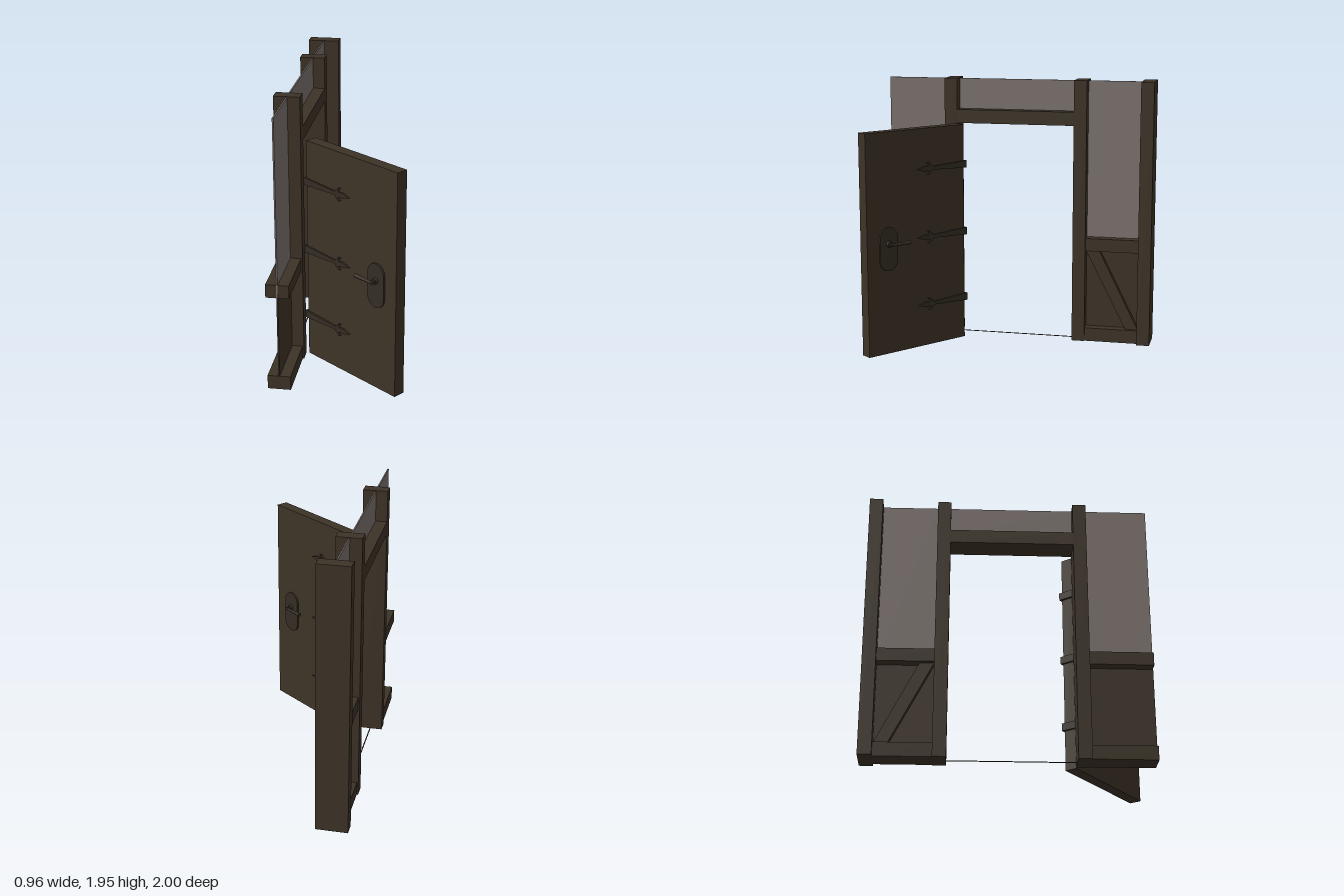
import * as THREE from 'three';

const wood = new THREE.MeshStandardMaterial({ name: 'dark wood', color: 0x3d3327 });
const iron = new THREE.MeshStandardMaterial({ name: 'dark iron', color: 0x352d24 });
const pane = new THREE.MeshStandardMaterial({ name: 'grey pane', color: 0x7a716d });

const WALL_X = -0.365;

function add(parent, name, geometry, material, x = 0, y = 0, z = 0) {
  const mesh = new THREE.Mesh(geometry, material);
  mesh.name = name;
  mesh.position.set(x, y, z);
  parent.add(mesh);
  return mesh;
}

// Box on the wall line, given its thickness and its y and z ranges
function wallBox(parent, name, thick, y0, y1, z0, z1, material = wood) {
  return add(parent, name, new THREE.BoxGeometry(thick, y1 - y0, z1 - z0), material,
    WALL_X, (y0 + y1) / 2, (z0 + z1) / 2);
}

// Tapered strap ending in a barbed arrow tip; upper half mirrored
function strapGeometry() {
  const half = [[-0.018, 0.027], [0.29, 0.012], [0.298, 0.024], [0.325, 0.046], [0.342, 0.044],
    [0.322, 0.027], [0.33, 0.017], [0.37, 0.018]];
  const points = [...half, [0.428, 0], ...half.map(([x, y]) => [x, -y]).reverse()];
  const shape = new THREE.Shape(points.map(([x, y]) => new THREE.Vector2(x, y)));
  return new THREE.ExtrudeGeometry(shape, { depth: 0.013, bevelEnabled: false });
}

// Rounded escutcheon plate
function plateGeometry(w, h, depth) {
  const r = w / 2, s = h / 2 - r;
  const shape = new THREE.Shape();
  shape.absarc(0, s, r, 0, Math.PI, false);
  shape.absarc(0, -s, r, Math.PI, Math.PI * 2, false);
  shape.closePath();
  return new THREE.ExtrudeGeometry(shape, { depth, bevelEnabled: false, curveSegments: 12 });
}

function buildHandle() {
  const handle = new THREE.Group();
  handle.name = 'handle';
  add(handle, 'handlePlate', plateGeometry(0.15, 0.32, 0.014), iron, 0, 0.778, 0.0425);
  add(handle, 'handleRosette', new THREE.CylinderGeometry(0.02, 0.024, 0.02, 16), iron, 0, 0.815, 0.064)
    .rotation.x = Math.PI / 2;
  add(handle, 'handleStem', new THREE.CylinderGeometry(0.011, 0.011, 0.05, 12), iron, 0, 0.815, 0.078)
    .rotation.x = Math.PI / 2;
  add(handle, 'handleLever', new THREE.CylinderGeometry(0.014, 0.009, 0.17, 12), iron, -0.07, 0.815, 0.097)
    .rotation.z = Math.PI / 2;
  return handle;
}

export function createModel() {
  const model = new THREE.Group();
  model.name = 'doorwayWall';

  // Timber frame
  wallBox(model, 'endPost', 0.23, 0, 1.95, -1, -0.905);
  wallBox(model, 'latchPost', 0.18, 0, 1.95, -0.51, -0.415);
  wallBox(model, 'hingePost', 0.18, 0, 1.95, 0.46, 0.555);
  wallBox(model, 'lintel', 0.18, 1.62, 1.72, -0.415, 0.46);
  wallBox(model, 'threshold', 0.008, 0, 0.004, -0.415, 0.46);
  wallBox(model, 'transomPane', 0.01, 1.72, 1.945, -0.415, 0.46, pane);

  // Side bays: rails, thin lower panel and upper pane
  for (const [z0, z1, open] of [[-0.905, -0.51, 0], [0.555, 1, 0.003]]) {
    wallBox(model, 'bottomRail', 0.16, 0, 0.1, z0, z1 - open);
    wallBox(model, 'middleRail', 0.16, 0.69, 0.785, z0, z1 - open);
    wallBox(model, 'lowerPanel', 0.01, 0.1, 0.69, z0, z1);
    wallBox(model, 'upperPane', 0.01, 0.69, 1.945, z0, z1, pane);
  }

  // Diagonal brace in the rear bay; shape x runs along -z
  const braceShape = new THREE.Shape([[0.51, 0.69], [0.81, 0.1], [0.905, 0.1], [0.61, 0.69]]
    .map(([x, y]) => new THREE.Vector2(x, y)));
  const brace = add(model, 'diagonalBrace',
    new THREE.ExtrudeGeometry(braceShape, { depth: 0.1, bevelEnabled: false }), wood, WALL_X - 0.05);
  brace.rotation.y = Math.PI / 2;

  // Open door: local x runs from the hinge to the free edge
  const door = new THREE.Group();
  door.name = 'door';
  door.position.set(-0.228, 0, 0.4285);
  door.rotation.y = -0.66;
  model.add(door);
  add(door, 'doorLeaf', new THREE.BoxGeometry(0.862, 1.618, 0.085), wood, 0.431, 0.811, 0);

  // Hinge straps on both faces, joined round the hinge edge
  const strap = strapGeometry();
  for (const y of [0.315, 0.82, 1.325]) {
    add(door, 'hingeStrapFront', strap, iron, 0, y, 0.0425);
    add(door, 'hingeStrapBack', strap, iron, 0, y, -0.0555);
    add(door, 'hingeKnuckle', new THREE.BoxGeometry(0.018, 0.054, 0.11), iron, -0.009, y, 0);
  }

  // Lever handles on both faces, pointing to the hinge
  for (const side of [1, -1]) {
    const handle = buildHandle();
    handle.position.x = 0.685;
    handle.scale.z = side;
    door.add(handle);
  }
  return model;
}
